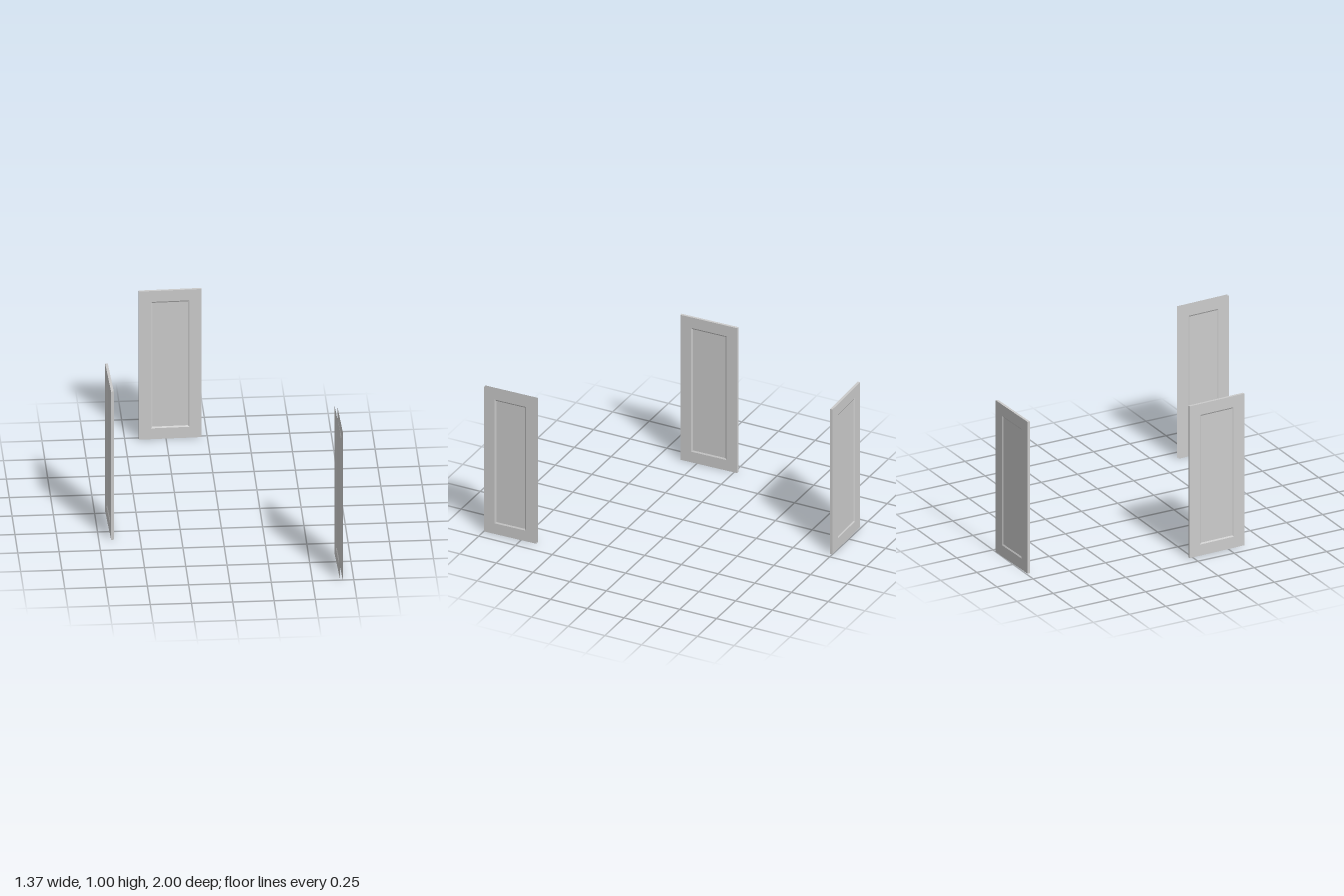
import * as THREE from 'three';

const HEIGHT = 1, THICK = 0.016, MARGIN = 0.073, BEVEL = 0.009, DEPTH = 0.005;
const TILT = 0.0255;

// Door leaf lofted through rectangular rings: front recess, rim, edge, back rim, back recess
function doorGeometry(width, closedEdges) {
  const t = THICK / 2;
  const rings = [
    [MARGIN + BEVEL, t - DEPTH], [MARGIN, t], [0, t],
    [0, -t], [MARGIN, -t], [MARGIN + BEVEL, -t + DEPTH],
  ];
  const pos = [], index = [];
  for (const [inset, z] of rings) {
    const x = width / 2 - inset, y0 = inset, y1 = HEIGHT - inset;
    pos.push(-x, y0, z, x, y0, z, x, y1, z, -x, y1, z);
  }
  for (let r = 0; r < rings.length - 1; r++) {
    if (r === 2 && !closedEdges) continue; // leave the outer edge open
    for (let i = 0; i < 4; i++) {
      const j = (i + 1) % 4, a = r * 4, b = a + 4;
      index.push(a + i, b + i, b + j, a + i, b + j, a + j);
    }
  }
  // Sunken centre fields
  const e = (rings.length - 1) * 4;
  index.push(0, 1, 2, 0, 2, 3, e, e + 2, e + 1, e, e + 3, e + 2);

  const indexed = new THREE.BufferGeometry();
  indexed.setAttribute('position', new THREE.Float32BufferAttribute(pos, 3));
  indexed.setIndex(index);
  const geo = indexed.toNonIndexed();
  geo.computeVertexNormals();
  return geo;
}

export function createModel() {
  const group = new THREE.Group();
  group.name = 'panelDoors';
  const material = new THREE.MeshStandardMaterial({ color: 0xcccccc, side: THREE.DoubleSide });

  const doors = [
    { name: 'backDoor', width: 0.38, x: -0.225, z: -0.988, turn: TILT, closed: true },
    { name: 'rightDoor', width: 0.383, x: -0.672, z: 0.17, turn: Math.PI / 2 + TILT, closed: true },
    // Two facing sheets without edge strips
    { name: 'leftDoor', width: 0.355, x: 0.671, z: 0.8225, turn: Math.PI / 2 + TILT, closed: false },
  ];
  for (const d of doors) {
    const mesh = new THREE.Mesh(doorGeometry(d.width, d.closed), material);
    mesh.name = d.name;
    mesh.position.set(d.x, 0, d.z);
    mesh.rotation.y = d.turn;
    group.add(mesh);
  }
  return group;
}
